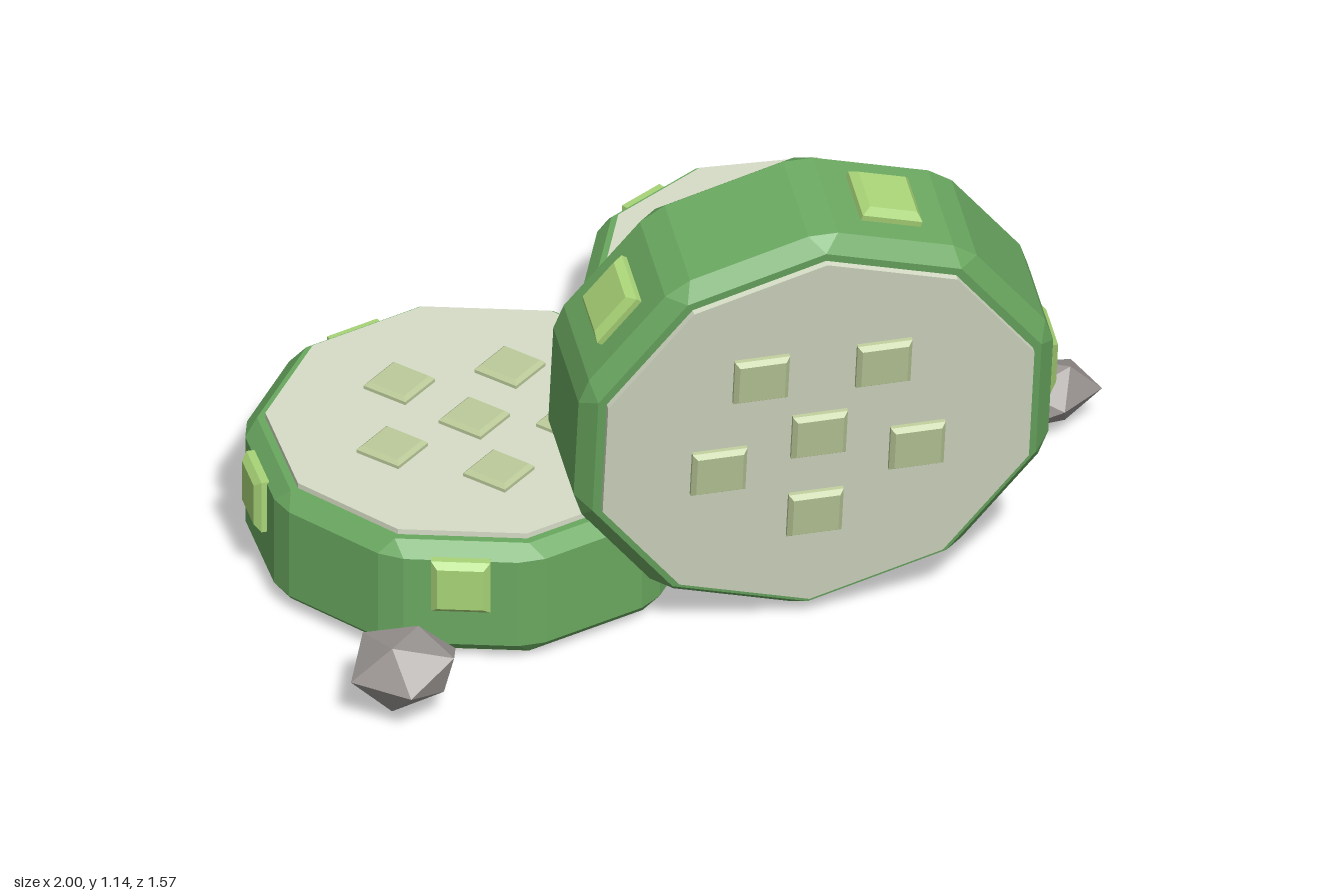
import * as THREE from 'three';

const SIDES = 10, R = 0.51, BEVEL = 0.032;
const mat = (color) => new THREE.MeshStandardMaterial({ color, flatShading: true });
const bodyMat = mat(0x6aa860);
const studMat = mat(0xa9d477);
const plateMat = mat(0xd6ddc6);
const padMat = mat(0xbccb9a);
const rockMat = mat(0x9a9592);

function add(parent, name, geometry, material) {
  const mesh = new THREE.Mesh(geometry, material);
  mesh.name = name;
  parent.add(mesh);
  return mesh;
}

// Ten-sided drum along z with every edge, also the corner edges, chamfered
function bodyGeometry(halfDepth) {
  const apothem = R * Math.cos(Math.PI / SIDES);
  const rimHalf = R * Math.sin(Math.PI / SIDES) - BEVEL;
  const inner = apothem - BEVEL;
  const innerHalf = inner * Math.tan(Math.PI / SIDES);
  const sections = [
    [inner, innerHalf, -halfDepth],
    [apothem, rimHalf, -halfDepth + BEVEL],
    [apothem, rimHalf, halfDepth - BEVEL],
    [inner, innerHalf, halfDepth],
  ];
  const pos = [], index = [], n = SIDES * 2;
  for (const [a, h, z] of sections) {
    for (let k = 0; k < SIDES; k++) {
      const t = (k / SIDES) * Math.PI * 2, c = Math.cos(t), s = Math.sin(t);
      for (const w of [-h, h]) pos.push(a * c - w * s, a * s + w * c, z);
    }
  }
  for (let r = 0; r < 3; r++) {
    for (let i = 0; i < n; i++) {
      const j = (i + 1) % n, a = r * n + i, b = r * n + j;
      // Corner chamfers shrink to a triangle at the inner rings
      const corner = i % 2 === 1;
      if (!(corner && r === 0)) index.push(a, b, b + n);
      else index.push(a, b + n, a + n);
      if (!(corner && r !== 1)) index.push(a, b + n, a + n);
    }
  }
  // End caps
  for (let i = 1; i < n - 1; i++) {
    index.push(0, i + 1, i, 3 * n, 3 * n + i, 3 * n + i + 1);
  }
  const g = new THREE.BufferGeometry();
  g.setAttribute('position', new THREE.Float32BufferAttribute(pos, 3));
  g.setIndex(index);
  g.computeVertexNormals();
  return g;
}

// Square block with chamfered edges, centred, thickness along z
function blockGeometry(size, depth, bevel) {
  const h = size / 2 - bevel;
  const shape = new THREE.Shape([
    new THREE.Vector2(-h, -h), new THREE.Vector2(h, -h),
    new THREE.Vector2(h, h), new THREE.Vector2(-h, h),
  ]);
  const g = new THREE.ExtrudeGeometry(shape, {
    depth: depth - 2 * bevel, bevelEnabled: true,
    bevelThickness: bevel, bevelSize: bevel, bevelSegments: 1,
  });
  return g.translate(0, 0, bevel - depth / 2);
}

// Drum with end plates, raised pads and rim studs; its axis is local z
function makeDrum(name, { scale, padTurn, studStart, studOffset, padFaces }) {
  const drum = new THREE.Group();
  drum.name = name;
  add(drum, 'body', bodyGeometry(0.142), bodyMat);

  const plateGeo = new THREE.CylinderGeometry(0.458, 0.458, 0.03, SIDES);
  plateGeo.rotateX(Math.PI / 2);
  for (const side of [1, -1]) {
    const plate = add(drum, side > 0 ? 'topPlate' : 'bottomPlate', plateGeo, plateMat);
    plate.position.z = side * 0.14;
    // a vertex points along local y
    plate.rotation.z = 0;
  }

  const padGeo = blockGeometry(0.112, 0.036, 0.009);
  for (const side of padFaces) {
    for (let i = 0; i < 6; i++) {
      const a = -Math.PI / 2 + (i * Math.PI * 2) / 5;
      const r = i < 5 ? 0.213 : 0;
      const pad = add(drum, 'facePad', padGeo, padMat);
      pad.position.set(r * Math.cos(a), r * Math.sin(a), side * 0.154);
      pad.rotation.z = padTurn;
    }
  }

  const studGeo = blockGeometry(0.13, 0.06, 0.014);
  studGeo.rotateY(Math.PI / 2);
  for (let i = 0; i < 5; i++) {
    const a = studStart + (i * Math.PI * 2) / 5;
    const stud = add(drum, 'rimStud', studGeo, studMat);
    stud.position.set(0.482 * Math.cos(a), 0.482 * Math.sin(a), studOffset);
    stud.rotation.z = a;
  }
  drum.scale.setScalar(scale);
  return drum;
}

// Irregular low-poly stone
function makeRock(name, size, seed) {
  const g = new THREE.IcosahedronGeometry(1, 0);
  const p = g.attributes.position, v = new THREE.Vector3();
  for (let i = 0; i < p.count; i++) {
    v.fromBufferAttribute(p, i);
    const key = Math.round(v.x * 10) * 1.7 + Math.round(v.y * 10) * 2.3 + Math.round(v.z * 10) * 3.1;
    v.multiplyScalar(1 + 0.14 * Math.sin(key + seed));
    p.setXYZ(i, v.x, v.y, v.z);
  }
  g.rotateY(seed);
  // fit to the wanted size
  g.computeBoundingBox();
  const box = g.boundingBox.getSize(new THREE.Vector3());
  g.center();
  g.scale(size[0] / box.x, size[1] / box.y, size[2] / box.z);
  g.computeVertexNormals();
  const rock = new THREE.Mesh(g, rockMat);
  rock.name = name;
  return rock;
}

export function createModel() {
  const model = new THREE.Group();
  model.name = 'drumsAndRocks';

  // Two drums lying flat
  const flat = { padTurn: 0.7, studStart: Math.PI, studOffset: 0.05, padFaces: [1] };
  const large = makeDrum('largeFlatDrum', { scale: 1, ...flat });
  large.position.set(-0.415, 0.155, -0.05);
  large.rotation.set(-Math.PI / 2, 0, -0.23);
  const small = makeDrum('smallFlatDrum', { scale: 0.9, ...flat });
  small.position.set(0.5, 0.14, -0.32);
  small.rotation.set(-Math.PI / 2, 0, 0);

  // One drum standing on its rim and leaning forward
  const standing = makeDrum('standingDrum', {
    scale: 1.1, padTurn: 0, studStart: 0, studOffset: 0, padFaces: [1, -1],
  });
  standing.position.set(0.105, 0.58, 0.495);
  standing.rotation.set(0.17, -0.25, 0, 'YXZ');

  // Loose stones
  const rockA = makeRock('rightRock', [0.265, 0.17, 0.25], 0.6);
  rockA.position.set(-0.868, 0.117, 0.48);
  const rockB = makeRock('leftRock', [0.23, 0.16, 0.19], 2.1);
  rockB.position.set(0.885, 0.105, 0.16);

  model.add(large, small, standing, rockA, rockB);
  return model;
}
